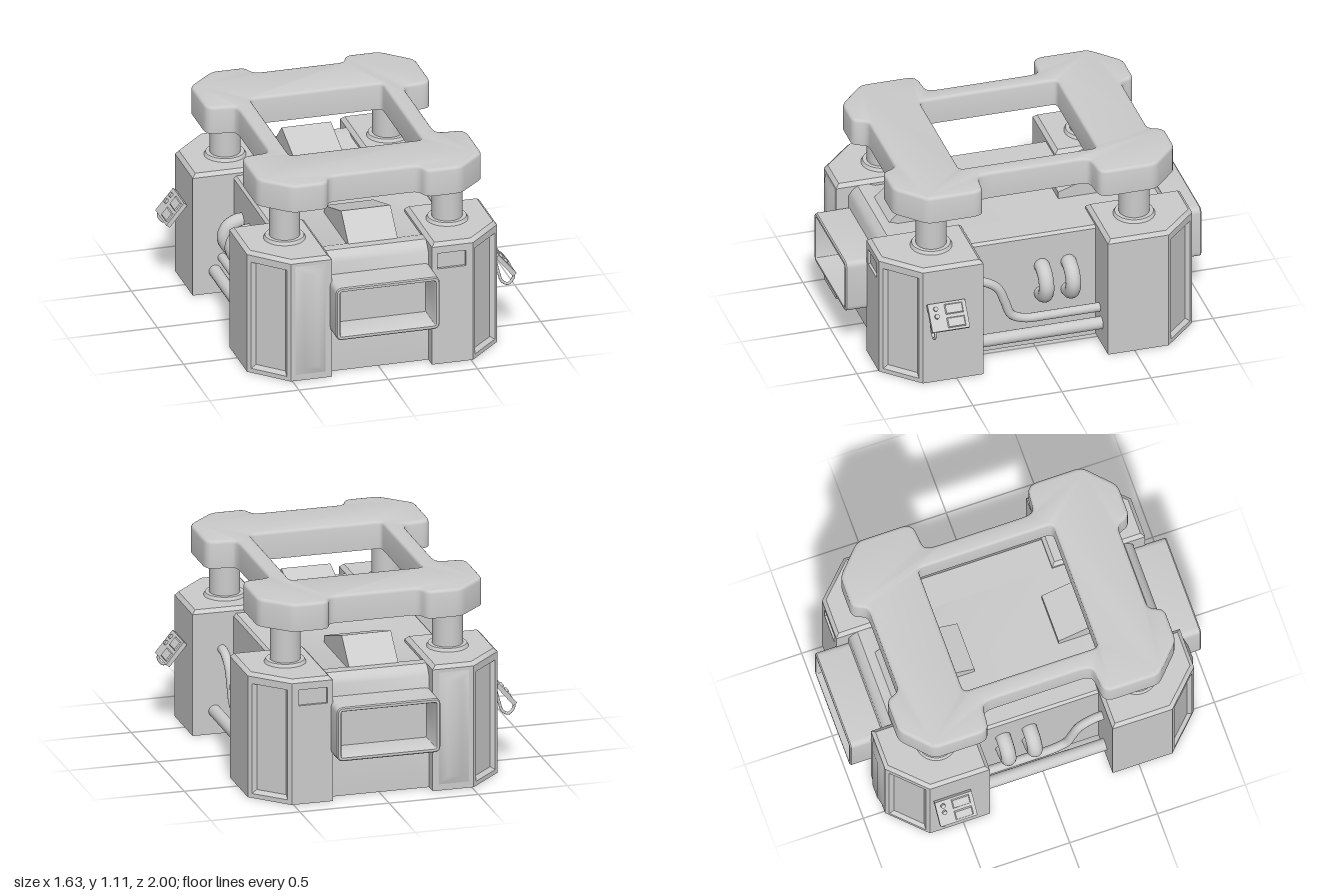
import * as THREE from 'three';
import { toCreasedNormals } from 'three/addons/utils/BufferGeometryUtils.js';

const grey = new THREE.MeshStandardMaterial({ color: 0xcccccc, side: THREE.DoubleSide });
const V2 = (list) => list.map(([x, y]) => new THREE.Vector2(x, y));
const rect = (x0, y0, x1, y1) => V2([[x0, y0], [x1, y0], [x1, y1], [x0, y1]]);

function add(parent, name, geometry, x = 0, y = 0, z = 0) {
  const mesh = new THREE.Mesh(geometry, grey);
  mesh.name = name;
  mesh.position.set(x, y, z);
  parent.add(mesh);
  return mesh;
}

function group(parent, name) {
  const g = new THREE.Group();
  g.name = name;
  parent.add(g);
  return g;
}

// Replaces every corner of a closed outline by a small curve
function rounded(pts, r, steps = 4) {
  const out = [];
  pts.forEach((p, i) => {
    const toward = (q) => p.clone().lerp(q, Math.min(r / p.distanceTo(q), 0.45));
    const a = toward(pts[(i + pts.length - 1) % pts.length]);
    const b = toward(pts[(i + 1) % pts.length]);
    out.push(...new THREE.QuadraticBezierCurve(a, p, b).getPoints(steps));
  });
  return out;
}

// Moves an outline to its left (inward when counter-clockwise)
function inset(pts, d) {
  if (!d) return pts;
  const n = pts.length;
  return pts.map((p, i) => {
    const a = p.clone().sub(pts[(i + n - 1) % n]).normalize();
    const b = pts[(i + 1) % n].clone().sub(p).normalize();
    const k = d / (1 + a.dot(b));
    return new THREE.Vector2(p.x - (a.y + b.y) * k, p.y + (a.x + b.x) * k);
  });
}

// Stacks an outline along z through rings of [height, inset]; holes run clockwise
function loft(outline, rings, { holes = [], open = false, cap = true, base = false } = {}) {
  const pos = [];
  const put = (p, h) => pos.push(p.x, p.y, h);
  const loops = [outline, ...holes];
  for (const loop of loops) {
    for (let k = 0; k + 1 < rings.length; k++) {
      const [h0, d0] = rings[k], [h1, d1] = rings[k + 1];
      const lo = inset(loop, d0), hi = inset(loop, d1);
      for (let i = 0; i < loop.length - (open ? 1 : 0); i++) {
        const j = (i + 1) % loop.length;
        put(lo[i], h0); put(lo[j], h0); put(hi[j], h1);
        put(lo[i], h0); put(hi[j], h1); put(hi[i], h1);
      }
    }
  }
  const close = ([h, d], flip) => {
    const ls = loops.map((l) => inset(l, d));
    const all = ls.flat();
    for (const f of THREE.ShapeUtils.triangulateShape(ls[0], ls.slice(1))) {
      (flip ? [...f].reverse() : f).forEach((i) => put(all[i], h));
    }
  };
  if (cap && !open) close(rings[rings.length - 1], false);
  if (base) close(rings[0], true);
  const g = new THREE.BufferGeometry();
  g.setAttribute('position', new THREE.Float32BufferAttribute(pos, 3));
  return toCreasedNormals(g, 0.6);
}

// Same, standing upright: outline is (x, -z) and heights run along y
const upright = (...args) => loft(...args).rotateX(-Math.PI / 2);

function tube(points, r) {
  const curve = new THREE.CatmullRomCurve3(points.map((p) => new THREE.Vector3(...p)));
  return new THREE.TubeGeometry(curve, 48, r, 14);
}

// Hollow corner block with chamfered outer corner, post and inset panels
function cornerBlock(parent, sx, sz) {
  const g = group(parent, 'cornerBlock');
  g.scale.set(sx, 1, sz);
  const top = V2([[0.28, -0.88], [0.51, -0.88], [0.7, -0.69], [0.7, -0.35], [0.28, -0.35]]);
  add(g, 'blockTop', upright(top, [[0.65, 0], [0.69, 0], [0.71, 0.02]]));
  const wall = (pts) => add(g, 'blockWall', upright(V2(pts), [[0, 0], [0.66, 0]], { open: true }));
  wall([[0.28, -0.8], [0.28, -0.88]]);
  wall([[0.7, -0.69], [0.7, -0.35], [0.46, -0.35]]);

  const corner = add(g, 'chamferPanel', loft(rect(-0.1344, 0, 0.1344, 0.69),
    [[0, 0], [0, 0.025], [-0.02, 0.045]]), 0.605, 0, 0.785);
  corner.rotation.y = Math.PI / 4;

  if (sx > 0) {
    const hole = rect(0.31, 0.56, 0.47, 0.67);
    add(g, 'blockFace', loft(rect(0.28, 0, 0.51, 0.69), [[0, 0]], { holes: [[...hole].reverse()] }), 0, 0, 0.88);
    add(g, 'smallRecess', loft(hole, [[0, 0], [-0.015, 0]]), 0, 0, 0.88);
  } else {
    add(g, 'blockFace', loft(rect(0.28, 0, 0.51, 0.69), [[0, 0]]), 0, 0, 0.88);
    add(g, 'raisedPanel', loft(rect(0.315, 0.035, 0.485, 0.67), [[0, 0], [0.02, 0.045]]), 0, 0, 0.88);
  }

  add(g, 'postFlange', new THREE.CylinderGeometry(0.105, 0.115, 0.02, 32), 0.455, 0.718, 0.57);
  add(g, 'post', new THREE.CylinderGeometry(0.083, 0.083, 0.26, 32), 0.455, 0.83, 0.57);
}

// Tilted control box with buttons and a cable loop
function controlBox(parent, turn) {
  const g = group(parent, 'controlBox');
  g.rotation.y = turn;
  const box = group(g, 'controlPanel');
  box.applyMatrix4(new THREE.Matrix4().makeBasis(new THREE.Vector3(0, 0, -1),
    new THREE.Vector3(-0.64, 0.768, 0), new THREE.Vector3(0.768, 0.64, 0)).setPosition(0.757, 0.432, 0.565));
  add(box, 'panelCase', new THREE.BoxGeometry(0.21, 0.155, 0.025));
  for (const s of [-1, 1]) {
    add(box, 'panelPlate', loft(rect(-0.05, -0.028, 0.05, 0.028), [[0, 0], [0.006, 0.005]]), 0.035, s * 0.037, 0.0125);
    const button = add(box, 'button', new THREE.CylinderGeometry(0.012, 0.014, 0.014, 14), -0.065, 0.025 + s * 0.021, 0.017);
    button.rotation.x = Math.PI / 2;
  }
  add(g, 'cable', tube([[0.8, 0.385, 0.65], [0.803, 0.35, 0.65], [0.775, 0.318, 0.65],
    [0.74, 0.335, 0.65], [0.72, 0.39, 0.65], [0.7, 0.47, 0.65]], 0.008));
}

export function createModel() {
  const model = new THREE.Group();
  model.name = 'pedestal';

  for (const sx of [-1, 1]) for (const sz of [-1, 1]) cornerBlock(model, sx, sz);

  // Centre shell, open below: end plates and roof in one strip
  const half = [[0.81, 0], [0.81, 0.635], [0.79, 0.665], [0.76, 0.69], [0.7, 0.69], [0.66, 0.675]];
  const strip = V2([...half, ...half.map(([z, y]) => [-z, y]).reverse()]);
  add(model, 'centreShell', loft(strip, [[-0.28, 0], [0.28, 0]], { open: true }).rotateY(-Math.PI / 2));

  // Side walls with pipes and curved handles
  for (const s of [-1, 1]) {
    const side = group(model, 'side');
    side.scale.x = s;
    add(side, 'sideWall', loft(V2([[0.47, 0], [0.47, 0.66], [0.455, 0.675], [0.28, 0.675]]),
      [[-0.35, 0], [0.35, 0]], { open: true }));
    add(side, 'straightPipe', new THREE.CylinderGeometry(0.035, 0.035, 0.72, 18).rotateX(Math.PI / 2), 0.575, 0.13, 0);
    const path = [[0.37, 0.48], [0.3, 0.473], [0.22, 0.42], [0.18, 0.33], [0.145, 0.245],
      [0.07, 0.21], [-0.05, 0.205], [-0.2, 0.205], [-0.36, 0.205]];
    add(side, 'bentPipe', tube(path.map(([z, y]) => [0.535, y, z]), 0.025));
    for (const z of [-0.045, -0.195]) {
      add(side, 'curvedHandle', tube([[0.455, 0.312, z], [0.495, 0.314, z], [0.545, 0.342, z],
        [0.567, 0.397, z], [0.545, 0.452, z], [0.495, 0.48, z], [0.455, 0.482, z]], 0.042));
    }
  }

  // Hollow sockets and sloped wedges at both ends
  for (const turn of [0, Math.PI]) {
    const end = group(model, 'end');
    end.rotation.y = turn;
    const mouth = rounded(rect(-0.29, 0.262, 0.29, 0.568), 0.035);
    add(end, 'socket', loft(mouth, [[0, 0], [0.183, 0], [0.19, 0.006], [0.19, 0.02], [0.18, 0.025], [0.003, 0.025]]), 0, 0, 0.81);
    const wedge = V2([[0.24, 0.66], [0.72, 0.66], [0.715, 0.685], [0.57, 0.825], [0.24, 0.715]]);
    add(end, 'wedge', loft(wedge, [[-0.138, 0], [0.138, 0]], { base: true }).rotateY(-Math.PI / 2));
    controlBox(model, turn);
  }

  // Top frame with notched outline and rectangular opening
  const q = [[0.465, 0.27], [0.48, 0.315], [0.605, 0.325], [0.63, 0.36], [0.63, 0.64],
    [0.47, 0.79], [0.28, 0.79], [0.25, 0.71]];
  const mirror = (sx, sy) => q.map(([x, y]) => [x * sx, y * sy]);
  const outline = V2([...q, ...mirror(-1, 1).reverse(), ...mirror(-1, -1), ...mirror(1, -1).reverse()]);
  const opening = rounded(rect(-0.37, -0.385, 0.37, 0.385), 0.03).reverse();
  add(model, 'topFrame', upright(rounded(outline, 0.035),
    [[0, 0], [0.137, 0], [0.147, 0.003], [0.152, 0.008], [0.155, 0.018]], { holes: [opening], base: true }), 0, 0.95, 0);

  return model;
}
